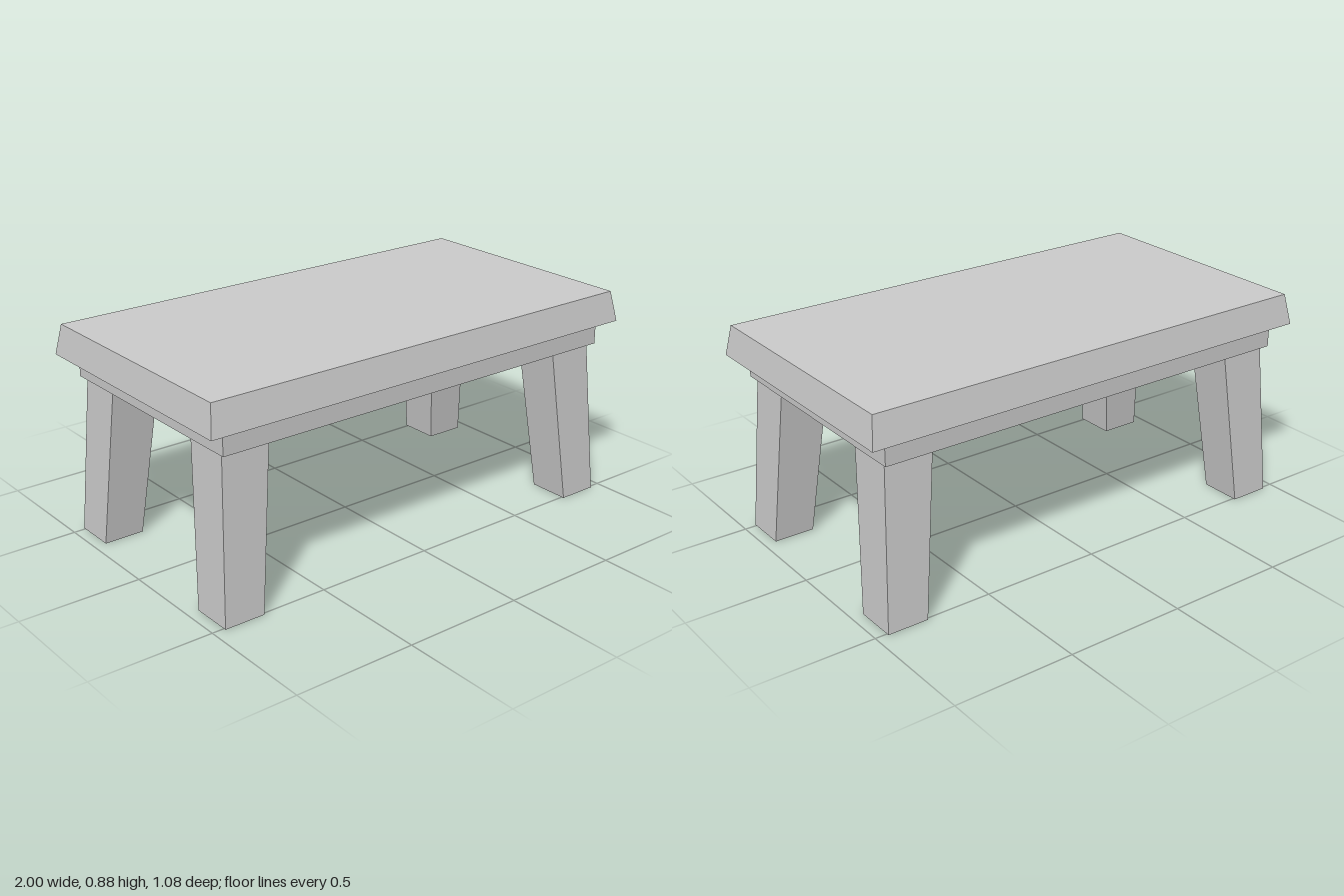
import * as THREE from 'three';

const grey = new THREE.MeshStandardMaterial({ color: 0xcccccc, side: THREE.DoubleSide });
grey.name = 'plain grey';

// Box whose bottom and top rectangles differ: each is [xMin, xMax, zMin, zMax]
function taperedBox(name, y0, y1, bottom, top, openBottom = false) {
  const geometry = new THREE.BoxGeometry(1, 1, 1);
  const p = geometry.attributes.position;
  for (let i = 0; i < p.count; i++) {
    const upper = p.getY(i) > 0;
    const r = upper ? top : bottom;
    p.setXYZ(i, r[p.getX(i) > 0 ? 1 : 0], upper ? y1 : y0, r[p.getZ(i) > 0 ? 3 : 2]);
  }
  if (openBottom) {
    const index = Array.from(geometry.index.array);
    index.splice(18, 6); // the downward face
    geometry.setIndex(index);
    geometry.clearGroups();
  }
  geometry.computeVertexNormals();
  const mesh = new THREE.Mesh(geometry, grey);
  mesh.name = name;
  return mesh;
}

// Orders an inner and outer distance along one side of an axis
const span = (sign, inner, outer) => (sign > 0 ? [inner, outer] : [-outer, -inner]);

export function createModel() {
  const table = new THREE.Group();
  table.name = 'table';

  // Top slab with sloping edges
  table.add(taperedBox('tabletop', 0.755, 0.88, [-1, 1, -0.54, 0.54], [-0.98, 0.98, -0.515, 0.515]));

  // Apron boards
  for (const s of [1, -1]) {
    const longSide = [-0.925, 0.925, ...span(s, 0.465, 0.495)];
    const shortSide = [...span(s, 0.895, 0.925), -0.465, 0.465];
    table.add(taperedBox(s > 0 ? 'frontApron' : 'backApron', 0.66, 0.75, longSide, longSide));
    table.add(taperedBox(s > 0 ? 'leftApron' : 'rightApron', 0.66, 0.75, shortSide, shortSide));

    // Support rail under the slab
    const rail = [-0.895, 0.895, ...span(s, 0.04, 0.07)];
    table.add(taperedBox(s > 0 ? 'frontRail' : 'backRail', 0.67, 0.755, rail, rail));
  }

  // Splayed, tapering legs; all but one are hollow at the foot
  for (const sx of [1, -1]) {
    for (const sz of [1, -1]) {
      const foot = [...span(sx, 0.78, 0.95), ...span(sz, 0.335, 0.51)];
      const head = [...span(sx, 0.70, 0.905), ...span(sz, 0.26, 0.457)];
      const name = (sz > 0 ? 'front' : 'back') + (sx > 0 ? 'Left' : 'Right') + 'Leg';
      table.add(taperedBox(name, 0, 0.756, foot, head, !(sx > 0 && sz > 0)));
    }
  }
  return table;
}
